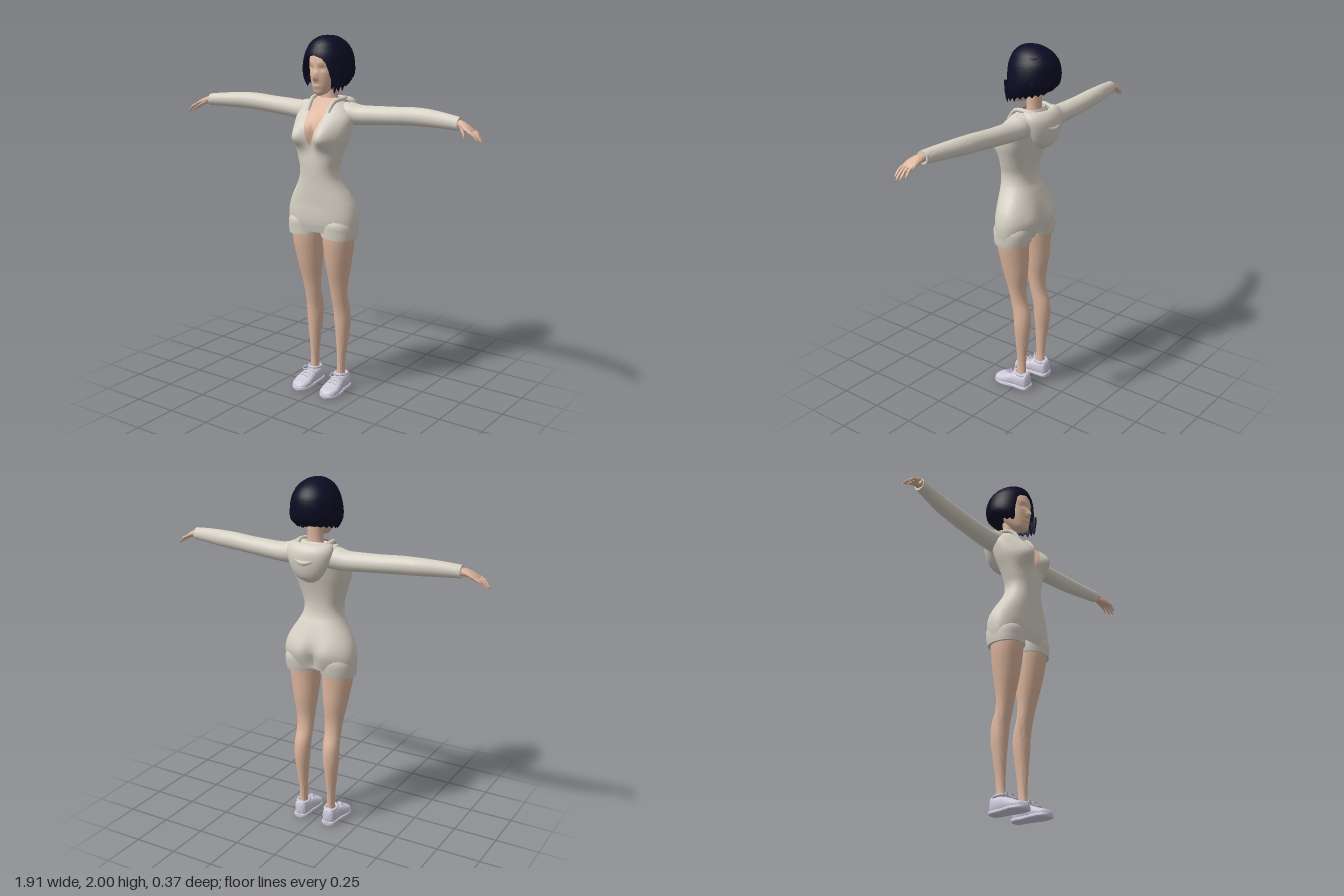
import * as THREE from 'three';
import { mergeVertices, toCreasedNormals } from 'three/addons/utils/BufferGeometryUtils.js';

const mat = (name, color) => {
  const m = new THREE.MeshStandardMaterial({ color, side: THREE.DoubleSide });
  m.name = name;
  return m;
};

// Piecewise linear lookup in a table of [key, value] pairs
function lin(table, v) {
  if (v <= table[0][0]) return table[0][1];
  for (let i = 1; i < table.length; i++) {
    const [a, p] = table[i - 1], [b, q] = table[i];
    if (v <= b) return p + (q - p) * (v - a) / (b - a);
  }
  return table[table.length - 1][1];
}

// Smooth rows between the key cross-sections
function refine(keys, steps) {
  const out = [], at = i => keys[Math.max(0, Math.min(keys.length - 1, i))];
  for (let i = 0; i < keys.length - 1; i++) for (let s = 0; s < steps; s++) {
    const t = s / steps, [a, b, c, d] = [at(i - 1), at(i), at(i + 1), at(i + 2)];
    out.push(b.map((_, k) => 0.5 * (2 * b[k] + (c[k] - a[k]) * t + (2 * a[k] - 5 * b[k] + 4 * c[k] - d[k]) * t * t
      + (3 * b[k] - a[k] - 3 * c[k] + d[k]) * t * t * t)));
  }
  out.push(at(keys.length - 1));
  return out;
}

// Cross-section point. y rows: [y, cx, halfWidth, zFront, zBack]; x rows: [x, cy, cz, ry, rz]; z rows: [z, cx, cy, rx, ry]
function point(axis, r, th, p) {
  const pw = v => Math.sign(v) * Math.abs(v) ** p, s = pw(Math.sin(th)), c = pw(Math.cos(th));
  if (axis === 'y') return [r[1] + r[2] * s, r[0], (r[3] + r[4]) / 2 + (r[3] - r[4]) / 2 * c];
  if (axis === 'x') return [r[0], r[1] + r[3] * c, r[2] + r[4] * s];
  return [r[1] + r[3] * s, r[2] + r[4] * c, r[0]];
}

// Skin a surface over cross-sections; range(row) gives the angles of an opening, warp moves points by a rule
function loft(name, material, axis, keys, { segs = 24, steps = 4, p = 1, side = 1, cap = true, range, warp } = {}) {
  const rows = refine(keys, steps), rings = rows.map(r => {
    const [a, b] = range ? range(r) : [0, Math.PI * 2];
    return Array.from({ length: segs + 1 }, (_, i) => {
      const th = a + (b - a) * i / segs, q = point(axis, r, th, p);
      if (warp) warp(q, th, r);
      q[0] *= side;
      return q;
    });
  });
  if (cap) {
    const flat = ring => {
      const c = [0, 1, 2].map(k => ring.reduce((s, q) => s + q[k], 0) / ring.length);
      return ring.map(() => c);
    };
    rings.unshift(flat(rings[0]));
    rings.push(flat(rings[rings.length - 1]));
  }
  const pos = rings.flat(), n = segs + 1, idx = [];
  for (let j = 0; j < rings.length - 1; j++) for (let i = 0; i < segs; i++) {
    const a = j * n + i;
    idx.push(a, a + 1, a + n, a + 1, a + n + 1, a + n);
  }
  // Make the surface face outwards
  const mid = [0, 1, 2].map(k => pos.reduce((s, q) => s + q[k], 0) / pos.length);
  const vs = pos.map(q => new THREE.Vector3(q[0] - mid[0], q[1] - mid[1], q[2] - mid[2])), t = new THREE.Vector3();
  let vol = 0;
  for (let i = 0; i < idx.length; i += 3) vol += vs[idx[i]].dot(t.crossVectors(vs[idx[i + 1]], vs[idx[i + 2]]));
  if (vol < 0) idx.reverse();
  const g = new THREE.BufferGeometry();
  g.setAttribute('position', new THREE.Float32BufferAttribute(pos.flat(), 3));
  g.setIndex(idx);
  const mesh = new THREE.Mesh(toCreasedNormals(mergeVertices(g, 1e-4), 1.0), material);
  mesh.name = name;
  return mesh;
}

function tube(name, material, pts, r) {
  const curve = new THREE.CatmullRomCurve3(pts.map(q => new THREE.Vector3(...q)));
  const m = new THREE.Mesh(new THREE.TubeGeometry(curve, 24, r, 8), material);
  m.name = name;
  return m;
}

const bell = (v, c, s) => Math.exp(-(((v - c) / s) ** 2));

export function createModel() {
  const model = new THREE.Group();
  model.name = 'figure';
  const skin = mat('skin', 0xdcb59d), cloth = mat('cream cloth', 0xd6d0c4);
  const hair = mat('dark hair', 0x0c0c24), shoe = mat('pale shoe', 0xcdc9da);
  const add = (...m) => model.add(...m);

  // Torso of the suit with a deep V opening, and the skin inside it
  const P = 0.88;
  const torso = [
    [0.95, 0, 0.208, 0.115, -0.085], [1.0, 0, 0.214, 0.128, -0.1], [1.05, 0, 0.212, 0.132, -0.107],
    [1.1, 0, 0.198, 0.132, -0.1], [1.15, 0, 0.172, 0.134, -0.085], [1.2, 0, 0.14, 0.136, -0.066],
    [1.25, 0, 0.116, 0.138, -0.046], [1.3, 0, 0.111, 0.14, -0.041], [1.35, 0, 0.124, 0.14, -0.046],
    [1.41, 0, 0.143, 0.134, -0.06], [1.47, 0, 0.163, 0.126, -0.078], [1.53, 0, 0.172, 0.11, -0.095],
    [1.58, 0, 0.17, 0.085, -0.108], [1.62, 0, 0.14, 0.058, -0.108], [1.65, 0, 0.1, 0.03, -0.098], [1.67, 0, 0.075, 0.008, -0.088]];
  const vee = [[1.41, 0], [1.45, 0.016], [1.5, 0.032], [1.56, 0.052], [1.62, 0.062], [1.67, 0.064]];
  const veeAngle = r => Math.asin(Math.min(1, lin(vee, r[0]) / r[2]) ** (1 / P));
  const shape = (q, th) => {
    const [x, y] = q, c = Math.cos(th), ax = Math.abs(x);
    if (c > 0) q[2] += Math.min(1, c * 2) * 0.066 * bell(ax, 0.08, 0.058) * bell(y, 1.475, y < 1.475 ? 0.06 : 0.085);
    else q[2] += -c * (0.03 * bell(ax, 0, 0.03) * bell(y, 1.0, 0.08) - 0.012 * bell(ax, 0.09, 0.06) * bell(y, 1.05, 0.07));
  };
  add(loft('suitBody', cloth, 'y', torso, {
    segs: 64, steps: 5, p: P, cap: false, warp: shape,
    range: r => [veeAngle(r), Math.PI * 2 - veeAngle(r)],
  }));
  add(loft('chest', skin, 'y', torso.slice(9), {
    segs: 24, steps: 5, p: P, cap: false,
    range: r => [-veeAngle(r) - 0.06, veeAngle(r) + 0.06],
    warp: (q, th) => { shape(q, th); q[2] -= 0.006 + 0.012 * bell(q[0], 0, 0.015) * bell(q[1], 1.47, 0.06); },
  }));
  add(loft('neck', skin, 'y', [[1.57, 0, 0.075, 0.01, -0.1], [1.64, 0, 0.052, -0.003, -0.09], [1.69, 0, 0.044, -0.008, -0.085],
    [1.78, 0, 0.046, 0.0, -0.09]]));

  // Hood hanging at the back, with folds and front collar edges
  add(loft('hood', cloth, 'y', [[1.457, 0, 0.025, -0.09, -0.12], [1.48, 0, 0.062, -0.08, -0.152], [1.52, 0, 0.095, -0.07, -0.172],
    [1.58, 0, 0.122, -0.05, -0.183], [1.63, 0, 0.133, -0.03, -0.178], [1.662, 0, 0.12, -0.02, -0.155],
    [1.667, 0, 0.09, -0.025, -0.13], [1.63, 0, 0.065, -0.03, -0.11]], { segs: 32 }));
  add(tube('hoodFold', cloth, [[0.12, 1.65, -0.03], [0.105, 1.62, -0.12], [0, 1.575, -0.178], [-0.105, 1.62, -0.12], [-0.12, 1.65, -0.03]], 0.014));
  add(tube('hoodRim', cloth, [[0.066, 1.6, 0.07], [0.074, 1.655, 0.025], [0.092, 1.668, -0.05], [0.06, 1.65, -0.125], [0, 1.635, -0.15],
    [-0.06, 1.65, -0.125], [-0.092, 1.668, -0.05], [-0.074, 1.655, 0.025], [-0.066, 1.6, 0.07]], 0.012));

  for (const side of [1, -1]) {
    const tag = side > 0 ? 'left' : 'right';
    // Sleeve
    add(loft(tag + 'Sleeve', cloth, 'x', [[0.07, 1.59, -0.045, 0.06, 0.07], [0.14, 1.59, -0.05, 0.06, 0.066], [0.2, 1.586, -0.056, 0.053, 0.058],
      [0.3, 1.592, -0.06, 0.05, 0.052], [0.4, 1.598, -0.059, 0.048, 0.05], [0.5, 1.605, -0.056, 0.048, 0.047], [0.6, 1.607, -0.046, 0.046, 0.044],
      [0.7, 1.605, -0.025, 0.041, 0.039], [0.78, 1.602, -0.007, 0.036, 0.035], [0.81, 1.6, 0, 0.034, 0.034]], { side }));
    // Hand, fingers and thumb
    add(loft(tag + 'Palm', skin, 'x', [[0.79, 1.602, -0.002, 0.023, 0.025], [0.83, 1.597, 0.008, 0.02, 0.03], [0.865, 1.583, 0.018, 0.016, 0.038],
      [0.895, 1.566, 0.022, 0.01, 0.036]], { side, segs: 16 }));
    [[-0.006, -0.002, 0.93, 1.535], [0.014, 0.018, 0.946, 1.525], [0.032, 0.036, 0.953, 1.523], [0.049, 0.056, 0.94, 1.53]].forEach(([z, zt, x, y], i) =>
      add(loft(tag + 'Finger' + (i + 1), skin, 'x', [[0.88, 1.573, z, 0.009, 0.009], [0.91, 1.561, (z + zt) / 2, 0.008, 0.008],
        [x - 0.012, y + 0.013, zt, 0.0065, 0.0065], [x, y, zt, 0.003, 0.003]], { side, segs: 10, steps: 3 })));
    add(loft(tag + 'Thumb', skin, 'x', [[0.825, 1.59, 0.02, 0.012, 0.014], [0.85, 1.572, 0.046, 0.01, 0.014], [0.868, 1.555, 0.066, 0.008, 0.011],
      [0.877, 1.543, 0.078, 0.004, 0.004]], { side, segs: 10 }));
    // Short trouser leg
    add(loft(tag + 'ShortsLeg', cloth, 'y', [[0.915, 0.107, 0.098, 0.118, -0.082], [0.95, 0.107, 0.102, 0.12, -0.09], [1.0, 0.107, 0.1, 0.12, -0.095],
      [1.05, 0.1, 0.08, 0.09, -0.08]], { side, p: 0.92, warp: q => { q[1] += 0.012 * (1 - (q[0] - 0.01) / 0.2); } }));
    // Bare leg
    add(loft(tag + 'Leg', skin, 'y', [[0.96, 0.103, 0.09, 0.11, -0.075], [0.88, 0.102, 0.086, 0.106, -0.07], [0.75, 0.096, 0.07, 0.082, -0.064],
      [0.64, 0.092, 0.054, 0.052, -0.05], [0.56, 0.09, 0.048, 0.034, -0.056], [0.48, 0.092, 0.047, 0.018, -0.082], [0.4, 0.094, 0.045, 0.011, -0.086],
      [0.3, 0.094, 0.034, 0.004, -0.074], [0.2, 0.092, 0.024, -0.001, -0.06], [0.13, 0.091, 0.021, -0.001, -0.056], [0.06, 0.091, 0.024, 0.01, -0.06]], { side }));
    // Shoe upper, sole, ankle collar and laces
    add(loft(tag + 'ShoeUpper', shoe, 'z', [[-0.08, 0.093, 0.045, 0.022, 0.04], [-0.068, 0.093, 0.05, 0.035, 0.052], [-0.03, 0.093, 0.048, 0.04, 0.046],
      [0.01, 0.094, 0.046, 0.043, 0.042], [0.05, 0.096, 0.038, 0.05, 0.036], [0.09, 0.097, 0.029, 0.053, 0.028], [0.125, 0.096, 0.024, 0.045, 0.022],
      [0.143, 0.095, 0.02, 0.025, 0.014]], { side, p: 0.75, warp: q => { q[1] = Math.max(q[1], 0.005); } }));
    add(loft(tag + 'ShoeSole', shoe, 'z', [[-0.086, 0.093, 0.012, 0.022, 0.012], [-0.07, 0.093, 0.012, 0.04, 0.012], [0, 0.094, 0.012, 0.046, 0.012],
      [0.07, 0.097, 0.012, 0.058, 0.012], [0.115, 0.096, 0.012, 0.052, 0.012], [0.14, 0.095, 0.012, 0.035, 0.012],
      [0.15, 0.095, 0.012, 0.014, 0.01]], { side, p: 0.4 }));
    const collar = new THREE.Mesh(new THREE.TorusGeometry(0.033, 0.008, 8, 24), shoe);
    collar.name = tag + 'ShoeCollar';
    collar.rotation.x = Math.PI / 2 - 0.1;
    collar.scale.y = 1.2;
    collar.position.set(0.092 * side, 0.094, -0.03);
    add(collar);
    for (let i = 0; i < 3; i++) {
      const z = 0.025 + i * 0.022, y = 0.088 - i * 0.009;
      add(tube(tag + 'Lace' + (i + 1), shoe, [[0.062 * side, y - 0.012, z], [0.095 * side, y + 0.002, z + 0.004], [0.128 * side, y - 0.012, z]], 0.004));
    }
    for (const s of [1, -1])
      add(tube(tag + 'LaceLoop', shoe, [[0.095 * side, 0.09, 0.025], [0.095 * side + s * 0.022, 0.108, 0.03],
        [0.095 * side + s * 0.036, 0.09, 0.036], [0.095 * side, 0.088, 0.032]], 0.003));
    // Ear
    const ear = new THREE.Mesh(new THREE.SphereGeometry(1, 12, 10), skin);
    ear.name = tag + 'Ear';
    ear.scale.set(0.01, 0.032, 0.018);
    ear.position.set(0.084 * side, 1.81, -0.015);
    add(ear);
  }

  // Head with brow, eye hollows, nose, lips and chin
  add(loft('head', skin, 'y', [[1.69, 0, 0.016, 0.062, 0.03], [1.7, 0, 0.034, 0.074, 0.005], [1.725, 0, 0.05, 0.08, -0.03], [1.76, 0, 0.065, 0.085, -0.07],
    [1.8, 0, 0.076, 0.088, -0.1], [1.85, 0, 0.081, 0.09, -0.12], [1.9, 0, 0.08, 0.082, -0.125], [1.95, 0, 0.058, 0.05, -0.1], [1.97, 0, 0.03, 0.015, -0.06]], {
    segs: 64, steps: 6, p: 0.95, warp: (q, th) => {
      if (Math.cos(th) <= 0) return;
      const [x, y] = q, ax = Math.abs(x);
      q[2] += 0.027 * bell(x, 0, 0.012) * bell(y, 1.778, y < 1.778 ? 0.013 : 0.034) + 0.007 * bell(x, 0, 0.02) * bell(y, 1.737, 0.01)
        - 0.011 * bell(ax, 0.033, 0.018) * bell(y, 1.832, 0.014) + 0.004 * bell(ax, 0.03, 0.02) * bell(y, 1.858, 0.01);
    },
  }));

  // Bobbed hair, open over the face and longer on the left
  const leftEdge = [[1.72, 0.095], [1.82, 0.08], [1.86, 0.066], [1.885, 0.045], [1.9, 0]];
  const rightEdge = [[1.72, 0.082], [1.78, 0.09], [1.82, 0.086], [1.87, 0.076], [1.888, 0.062], [1.9, 0]];
  const hairAngle = (t, r) => r[0] >= 1.9 ? 0 : Math.asin(Math.min(0.95, lin(t, r[0]) / r[2]));
  const bob = [[2.0, 0, 0.004, -0.02, -0.03], [1.993, 0, 0.045, 0.025, -0.085], [1.965, -0.002, 0.088, 0.066, -0.138], [1.93, -0.004, 0.113, 0.086, -0.17],
    [1.9, -0.004, 0.126, 0.096, -0.183], [1.86, -0.005, 0.136, 0.1, -0.187], [1.82, -0.005, 0.14, 0.1, -0.182], [1.78, -0.003, 0.136, 0.098, -0.169],
    [1.745, 0, 0.124, 0.093, -0.15], [1.715, 0.003, 0.107, 0.088, -0.128]];
  add(loft('hair', hair, 'y', bob, {
    segs: 72, steps: 8, cap: false,
    range: r => [hairAngle(leftEdge, r), Math.PI * 2 - hairAngle(rightEdge, r)],
    warp: (q, th) => {
      const f = Math.max(0, Math.min(1, (1.8 - q[1]) / 0.085));
      q[1] += f * (0.02 * (1 - Math.cos(th)) + (Math.sin(th) < 0 ? 0.01 : 0) + 0.006 * Math.sin(th * 21));
    },
  }));
  // Inner layer closing the hair around the nape
  add(loft('hairUnderside', hair, 'y', [[1.95, 0, 0.09, -0.03, -0.14], [1.85, 0, 0.115, -0.04, -0.165], [1.79, 0, 0.118, -0.04, -0.155],
    [1.765, 0, 0.1, -0.045, -0.14]], { segs: 32 }));
  // Loose locks beside the left cheek
  [[0.098, 0.055, 1.705], [0.106, 0.03, 1.712], [0.11, 0.0, 1.715], [0.09, 0.066, 1.725]].forEach(([x, z, y]) =>
    add(loft('hairLock', hair, 'y', [[y, x, 0.002, z + 0.002, z - 0.002], [y + 0.03, x + 0.003, 0.007, z + 0.01, z - 0.01],
      [y + 0.09, x + 0.005, 0.008, z + 0.012, z - 0.012]], { segs: 8 })));
  return model;
}
